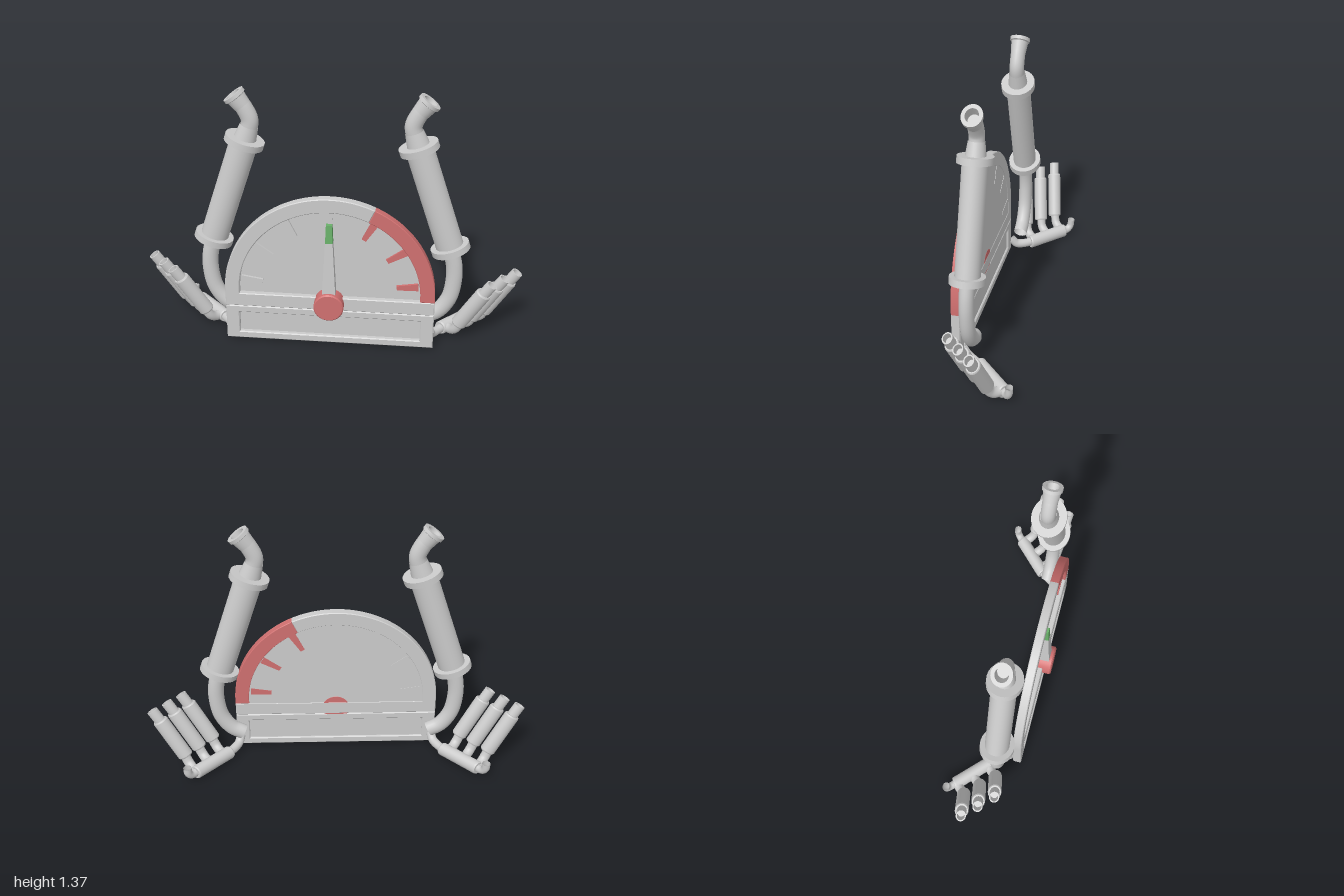
import * as THREE from 'three';

const material = (color) => new THREE.MeshStandardMaterial({ color, side: THREE.DoubleSide });
const grey = material(0xcccccc), red = material(0xd07070), green = material(0x69b069);
const SQUASH = 0.87; // pipes are slightly narrower front to back

function add(parent, name, geometry, mat = grey) {
  const mesh = new THREE.Mesh(geometry, mat);
  mesh.name = name;
  parent.add(mesh);
  return mesh;
}

// Flat shape standing between two depths, with an optional small bevel
function slab(shape, back, front, bevel = 0) {
  const g = new THREE.ExtrudeGeometry(shape, {
    depth: front - back - 2 * bevel, curveSegments: 40, bevelEnabled: bevel > 0,
    bevelThickness: bevel, bevelSize: bevel, bevelOffset: -bevel, bevelSegments: 1,
  });
  return g.translate(0, 0, back + bevel);
}

const polygon = (pts) => new THREE.Shape(pts.map(([x, y]) => new THREE.Vector2(x, y)));
const rectangle = (w, y0, y1) => polygon([[-w, y0], [w, y0], [w, y1], [-w, y1]]);

function createDial() {
  const dial = new THREE.Group();
  dial.name = 'gauge';
  const R = 0.54, r = 0.465, cy = 0.31, split = THREE.MathUtils.degToRad(65);

  // Lower panel with a recessed window
  const base = rectangle(R, 0.01, 0.21);
  base.holes.push(rectangle(0.47, 0.05, 0.17));
  add(dial, 'lowerFrame', slab(base, 0.12, 0.165, 0.005));
  add(dial, 'lowerPlate', slab(rectangle(0.475, 0.045, 0.175), 0.13, 0.142));

  // Arched frame, grey part and red danger zone
  const arch = polygon([[-R, 0.21], [R, 0.21], [R, 0.285], [-r, 0.285], [-r, cy]]);
  arch.absarc(0, cy, r, Math.PI, split, true);
  arch.absarc(0, cy, R, split, Math.PI, false);
  add(dial, 'archFrame', slab(arch, 0.12, 0.165, 0.004));
  const zone = polygon([[r, 0.285], [R, 0.285], [R, cy]]);
  zone.absarc(0, cy, R, 0, split, false);
  zone.absarc(0, cy, r, split, 0, true);
  add(dial, 'dangerZone', slab(zone, 0.12, 0.165, 0.003), red);

  // Dial face
  const face = polygon([[-0.47, 0.28], [0.47, 0.28], [0.47, cy]]);
  face.absarc(0, cy, 0.47, 0, Math.PI, false);
  add(dial, 'dialFace', slab(face, 0.122, 0.138));

  // Tapered tick marks
  [5, 32, 60, 90, 120, 148, 175].forEach((deg, i) => {
    const tick = polygon([[0.345, -0.012], [0.455, -0.02], [0.455, 0.02], [0.345, 0.012]]);
    const mesh = add(dial, 'tick' + (i + 1), slab(tick, 0.12, 0.15), deg < 90 ? red : grey);
    mesh.position.y = 0.325;
    mesh.rotation.z = THREE.MathUtils.degToRad(deg);
  });

  // Needle, thinning toward its tip
  const needlePart = (name, shape, mat) => {
    const g = slab(shape, 0, 1), p = g.attributes.position;
    for (let i = 0; i < p.count; i++) {
      const front = THREE.MathUtils.mapLinear(p.getY(i), 0.3, 0.71, 0.192, 0.172);
      p.setZ(i, p.getZ(i) > 0.5 ? front : 0.135);
    }
    g.computeVertexNormals();
    add(dial, name, g, mat);
  };
  needlePart('needle', polygon([[-0.036, 0.28], [0.036, 0.28], [0.019, 0.61], [-0.019, 0.61]]), grey);
  needlePart('needleTip', polygon([[-0.019, 0.61], [0.019, 0.61], [0.015, 0.71], [-0.015, 0.71]]), green);

  // Hub with a chamfered rim
  const disc = new THREE.Shape();
  disc.absarc(0, 0, 0.077, 0, Math.PI * 2, false);
  add(dial, 'hub', slab(disc, 0.121, 0.21, 0.006), red).position.y = 0.25;
  return dial;
}

// Pipework for one side: s = 1 is the model's left, -1 its right
function createPipes(s) {
  const side = new THREE.Group();
  side.name = s > 0 ? 'leftPipes' : 'rightPipes';
  side.scale.z = SQUASH;
  const P = ([x, y, z]) => new THREE.Vector3(s * x, y, z / SQUASH);

  const bend = (name, pts, radius) => add(side, name,
    new THREE.TubeGeometry(new THREE.CatmullRomCurve3(pts.map(P)), 28, radius, 20));

  // Turned part along a to b; profile holds [radius, distance from a as a fraction]
  function turned(name, a, b, profile) {
    const from = P(a), axis = P(b).sub(from), length = axis.length();
    // Repeated points keep the edges crisp
    const pts = profile.flatMap(([rad, t]) => {
      const v = new THREE.Vector2(rad, t * length);
      return [v, v.clone()];
    }).slice(1, -1);
    const mesh = add(side, name, new THREE.LatheGeometry(pts, 28));
    mesh.position.copy(from);
    mesh.quaternion.setFromUnitVectors(new THREE.Vector3(0, 1, 0), axis.normalize());
    return mesh;
  }
  const can = (rad, neck) => [[neck, 0], [rad * 0.9, 0], [rad, 0.03], [rad, 0.97], [rad * 0.9, 1], [neck, 1]];

  // Tall stack: inlet bend, body, flanges, outlet bend and flared mouth
  const z = 0.057, low = [0.605, 0.555, z], high = [0.427, 1.1, z];
  const along = (t) => low.map((v, i) => v + (high[i] - v) * t);
  bend('stackInlet', [[0.5, 0.145, z], [0.56, 0.18, z], [0.612, 0.26, z], [0.632, 0.37, z],
    [0.628, 0.46, z], [0.6, 0.57, z]], 0.042);
  turned('stackBody', low, high, can(0.071, 0));
  for (const [name, t] of [['lowerFlange', 0], ['upperFlange', 1]]) {
    turned(name, along(t - 0.03), along(t + 0.03), [[0, 0], [0.1, 0], [0.1, 1], [0, 1]]);
  }
  turned('outletCollar', along(1.01), along(1.15), [[0.058, 0], [0.046, 1]]);
  bend('stackOutlet', [[0.425, 1.1, z], [0.402, 1.17, z], [0.397, 1.215, z], [0.42, 1.27, z],
    [0.458, 1.325, z]], 0.043);
  turned('stackMouth', [0.43, 1.285, z], [0.474, 1.343, z],
    [[0.044, 0], [0.05, 0.7], [0.058, 0.75], [0.058, 1], [0.037, 1], [0.033, 0.3], [0, 0.3]]);

  // Collector pipe running outward and back, with a small elbow at each end
  turned('collector', [0.575, 0.04, 0.015], [0.75, 0.04, -0.155], can(0.037, 0));
  bend('collectorInlet', [[0.59, 0.04, 0], [0.555, 0.04, 0.045], [0.53, 0.05, 0.085], [0.52, 0.08, 0.11]], 0.024);
  bend('collectorEnd', [[0.735, 0.04, -0.14], [0.768, 0.042, -0.172], [0.782, 0.062, -0.185],
    [0.785, 0.1, -0.188]], 0.022);

  // Three short silencers branching off the collector
  for (let i = 0; i < 3; i++) {
    const at = (x, y, zz) => [x + 0.067 * i, y, zz - 0.07 * i];
    bend('branch' + (i + 1), [at(0.6, 0.04, -0.01), at(0.635, 0.045, 0.025), at(0.655, 0.065, 0.045),
      at(0.68, 0.12, 0.058)], 0.027);
    turned('silencer' + (i + 1), at(0.667, 0.1, 0.055), at(0.79, 0.315, 0.088), can(0.041, 0));
    turned('silencerTip' + (i + 1), at(0.785, 0.305, 0.087), at(0.825, 0.37, 0.096),
      [[0.03, 0], [0.03, 1], [0.023, 1], [0.023, 0.4], [0, 0.4]]);
  }
  return side;
}

export function createModel() {
  const model = new THREE.Group();
  model.name = 'gaugeWithExhausts';
  model.add(createDial(), createPipes(1), createPipes(-1));
  return model;
}
